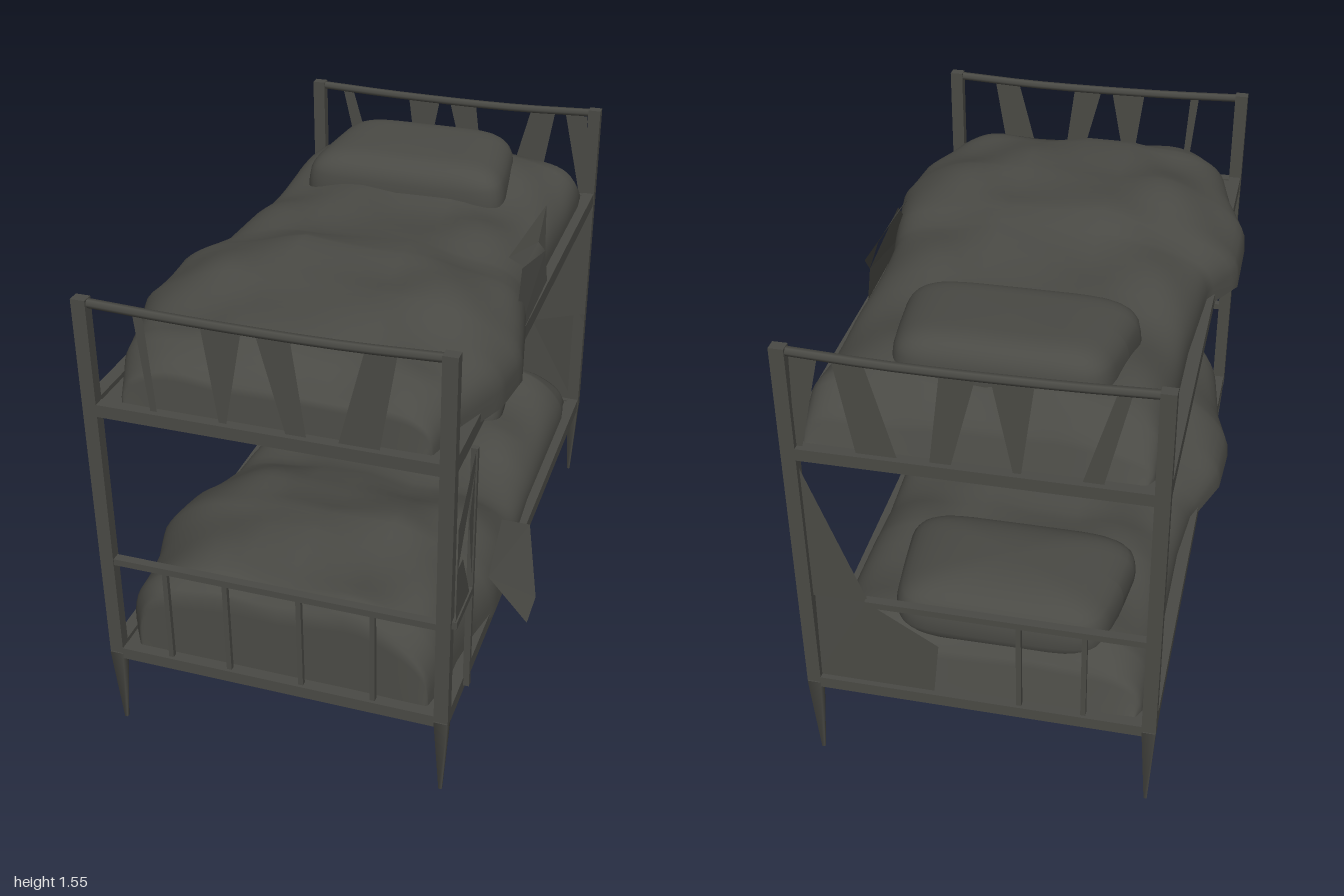
import * as THREE from 'three';

const charcoal = new THREE.MeshStandardMaterial({ color: 0x4a4a45, side: THREE.DoubleSide });
charcoal.name = 'charcoal';

const XL = -0.555, XR = 0.507, ZE = 0.975;   // post centre lines

function add(parent, name, geometry) {
  const mesh = new THREE.Mesh(geometry, charcoal);
  mesh.name = name;
  parent.add(mesh);
  return mesh;
}

// Box given by its two corners
function bar(parent, name, a, b) {
  const g = new THREE.BoxGeometry(b[0] - a[0], b[1] - a[1], b[2] - a[2]);
  g.translate((a[0] + b[0]) / 2, (a[1] + b[1]) / 2, (a[2] + b[2]) / 2);
  return add(parent, name, g);
}

// Thin flat sheet: a fan over the corner points
function plate(parent, name, points) {
  const index = [];
  for (let i = 1; i < points.length - 1; i++) index.push(0, i, i + 1);
  const g = new THREE.BufferGeometry();
  g.setAttribute('position', new THREE.Float32BufferAttribute(points.flat(), 3));
  g.setIndex(index);
  const flat = g.toNonIndexed();
  flat.computeVertexNormals();
  return add(parent, name, flat);
}

// Rumpled bedding lofted from foot to head; station = [z, crown height, right reach, left reach]
function bedding(parent, name, base, stations, seed, roundness) {
  const cols = 32, sub = 5, pos = [], index = [];
  let rows = 0;
  const row = (z, crown, right, left) => {
    for (let i = 0; i <= cols; i++) {
      const a = Math.PI * i / cols, c = Math.cos(a), k = Math.abs(c);
      // The right hem flares near its base, the left side bulges
      const reach = c > 0 ? right : left, flare = c > 0 ? 6 : 2.5, body = Math.min(0.51, reach);
      const x = -Math.sign(c) * (body * k ** 0.5 + (reach - body) * k ** flare) - 0.025;
      const s = Math.max(0, Math.sin(a)) ** roundness, h = crown - base;
      const fold = 0.012 * Math.sin(9 * x + 11 * z + seed) + 0.009 * Math.sin(17 * x - 13 * z + 2 * seed);
      pos.push(x, base + h * s + fold * s * Math.min(1, h * 6), z);
    }
    rows++;
  };
  stations.forEach((p, n) => {
    const q = stations[n + 1];
    if (!q) return row(...p);
    for (let j = 0; j < sub; j++) row(...p.map((v, k) => v + (q[k] - v) * j / sub));
  });
  for (let r = 0; r < rows - 1; r++) {
    for (let i = 0; i < cols; i++) {
      const a = r * (cols + 1) + i, b = a + cols + 1;
      index.push(a, a + 1, b, a + 1, b + 1, b);
    }
  }
  const g = new THREE.BufferGeometry();
  g.setAttribute('position', new THREE.Float32BufferAttribute(pos, 3));
  g.setIndex(index);
  g.computeVertexNormals();
  return add(parent, name, g);
}

// Squared-off cushion, wider towards the foot of the bed
function pillow(parent, name, centre, half, power) {
  const g = new THREE.SphereGeometry(1, 40, 20), p = g.attributes.position;
  const sq = (v, e) => Math.sign(v) * Math.abs(v) ** e;
  for (let i = 0; i < p.count; i++) {
    const x = p.getX(i), y = p.getY(i), z = p.getZ(i), r = Math.hypot(x, z) || 1;
    const ring = r ** power * (1 - 0.07 * y), dz = sq(z / r, 0.35) * ring;
    p.setXYZ(i, centre[0] + half[0] * sq(x / r, 0.35) * ring * (1 + 0.08 * dz),
      centre[1] + half[1] * sq(y, 0.7) - 0.012 * dz,
      centre[2] + half[2] * dz);
  }
  g.computeVertexNormals();
  return add(parent, name, g);
}

export function createModel() {
  const bed = new THREE.Group();
  bed.name = 'bunkBed';

  // Corner posts with pointed feet
  const posts = new THREE.Group();
  posts.name = 'posts';
  bed.add(posts);
  for (const x of [XL, XR]) {
    for (const z of [-ZE, ZE]) {
      bar(posts, 'post', [x - 0.022, 0.3, z - 0.018], [x + 0.022, 1.55, z + 0.018]);
      const bottom = z < 0 ? 0 : 0.03;
      const foot = new THREE.CylinderGeometry(0.03, 0.007, 0.31 - bottom, 4);
      foot.rotateY(Math.PI / 4);
      foot.translate(x, (0.31 + bottom) / 2, z);
      add(posts, 'foot', foot);
    }
  }

  // Rails around each bunk, with the slab under the bedding
  for (const [name, y] of [['lower', 0.29], ['upper', 1.18]]) {
    const frame = new THREE.Group();
    frame.name = name + 'Frame';
    bed.add(frame);
    for (const x of [XL, XR]) bar(frame, 'sideRail', [x - 0.02, y, -ZE], [x + 0.02, y + 0.05, ZE]);
    for (const z of [-ZE, ZE]) bar(frame, 'endRail', [XL, y, z - 0.018], [XR, y + 0.04, z + 0.018]);
    bar(frame, 'bedBase', [XL, y + 0.015, -0.96], [XR, y + 0.035, 0.96]);
  }

  // Head and foot guards
  const wedges = [[-0.2, -0.08, -0.16, -0.14], [-0.04, 0.06, 0.04, 0.1], [0.27, 0.36, 0.19, 0.31]];
  const ends = [
    { name: 'footGuard', z: ZE, extra: [[-0.4, -0.37, -0.37, -0.35]], thin: [-0.37, -0.175, 0.06, 0.29], from: XR },
    { name: 'headGuard', z: -ZE, extra: [[-0.46, -0.42, -0.39, -0.33], [0.4, 0.48, 0.47, 0.49]], thin: [-0.35, -0.15], from: 0.32 }];
  for (const { name, z, extra, thin, from } of ends) {
    const guard = new THREE.Group();
    guard.name = name;
    bed.add(guard);
    // Sagging top rail
    const sag = [[XL, 1.537], [-0.25, 1.527], [0.2, 1.525], [XR, 1.537]];
    const path = new THREE.CatmullRomCurve3(sag.map(([x, y]) => new THREE.Vector3(x, y, z)));
    add(guard, 'topRail', new THREE.TubeGeometry(path, 10, 0.014, 6));
    // Wedge-shaped balusters: top left, top right, bottom left, bottom right
    for (const [a, b, c, d] of [...wedges, ...extra]) {
      plate(guard, 'wedgeBaluster', [[a, 1.52, z], [c, 1.21, z], [d, 1.21, z], [b, 1.52, z]]);
    }
    bar(guard, 'lowerRail', [XL, 0.652, z - 0.014], [from, 0.674, z + 0.014]);
    for (const x of thin) {
      bar(guard, 'lowerBaluster', [x - 0.008, 0.31, z - 0.008], [x + 0.008, 0.66, z + 0.008]);
    }
  }

  // Brace sheets at the rear left post
  const zb = -0.975;
  plate(bed, 'rearBrace', [[0.5, 1.18, zb], [0.31, 0.66, zb], [0.5, 0.66, zb]]);
  plate(bed, 'rearGusset', [[0.32, 0.66, zb], [0.53, 0.73, zb + 0.02], [0.5, 0.33, zb],
    [0.12, 0.33, zb], [0.1, 0.52, zb]]);

  // Ladder remnant beside the front left post
  const ladder = new THREE.Group();
  ladder.name = 'ladder';
  bed.add(ladder);
  const xl = 0.54, side = (name, pts) => plate(ladder, name, pts.map(([z, y]) => [xl, y, z]));
  bar(ladder, 'ladderPole', [0.525, 0.31, 0.792], [0.545, 1.17, 0.81]);
  bar(ladder, 'ladderRung', [0.53, 0.665, 0.8], [0.545, 0.69, 0.985]);
  side('ladderBrace', [[0.98, 1.01], [0.8, 1.17], [0.8, 1.12], [0.98, 0.86]]);
  side('ladderBrace', [[0.86, 0.96], [0.8, 0.68], [0.8, 1.13]]);
  side('ladderBrace', [[0.98, 0.87], [0.92, 0.87], [0.83, 0.69], [0.98, 0.67]]);

  // Bedding of both bunks
  bedding(bed, 'upperBedding', 1.2, [
    [0.96, 1.21, 0.44, 0.46], [0.945, 1.33, 0.45, 0.48], [0.8, 1.40, 0.51, 0.52],
    [0.62, 1.42, 0.55, 0.59], [0.45, 1.44, 0.615, 0.61], [0.2, 1.44, 0.615, 0.56],
    [0.05, 1.41, 0.53, 0.53], [-0.3, 1.385, 0.51, 0.52], [-0.6, 1.40, 0.51, 0.52],
    [-0.82, 1.41, 0.51, 0.52], [-0.92, 1.31, 0.5, 0.51], [-0.96, 1.21, 0.48, 0.5]], 0.4, 0.6);
  bedding(bed, 'lowerBedding', 0.32, [
    [0.955, 0.33, 0.46, 0.47], [0.945, 0.57, 0.47, 0.48], [0.85, 0.605, 0.53, 0.5],
    [0.6, 0.615, 0.57, 0.53], [0.45, 0.615, 0.62, 0.56], [0.25, 0.57, 0.61, 0.56],
    [0.03, 0.49, 0.53, 0.53], [-0.2, 0.48, 0.51, 0.52], [-0.4, 0.51, 0.51, 0.52],
    [-0.8, 0.52, 0.51, 0.52], [-0.92, 0.46, 0.5, 0.5], [-0.96, 0.33, 0.48, 0.5]], 1.9, 0.75);
  pillow(bed, 'upperPillow', [-0.055, 1.4, -0.6], [0.34, 0.105, 0.225], 0.35);
  pillow(bed, 'lowerPillow', [-0.055, 0.52, -0.64], [0.36, 0.125, 0.25], 0.8);

  // Loose blanket corners over the left edge
  plate(bed, 'upperBlanketFold', [[0.46, 1.45, 0.15], [0.5, 1.4, 0.1], [0.5, 1.40, -0.1], [0.48, 1.445, -0.3]]);
  plate(bed, 'upperBlanketFold', [[0.48, 1.445, -0.3], [0.5, 1.4, -0.1], [0.51, 1.34, -0.17]]);
  plate(bed, 'upperBlanketSide', [[0.53, 1.22, 0.36], [0.5, 1.41, 0.13], [0.51, 1.34, -0.17], [0.52, 1.23, -0.18]]);
  plate(bed, 'lowerBlanketCorner', [[0.51, 0.46, 0.45], [0.64, 0.29, 0.43], [0.64, 0.3, 0.3], [0.55, 0.38, 0.01], [0.48, 0.48, 0.15]]);

  return bed;
}
